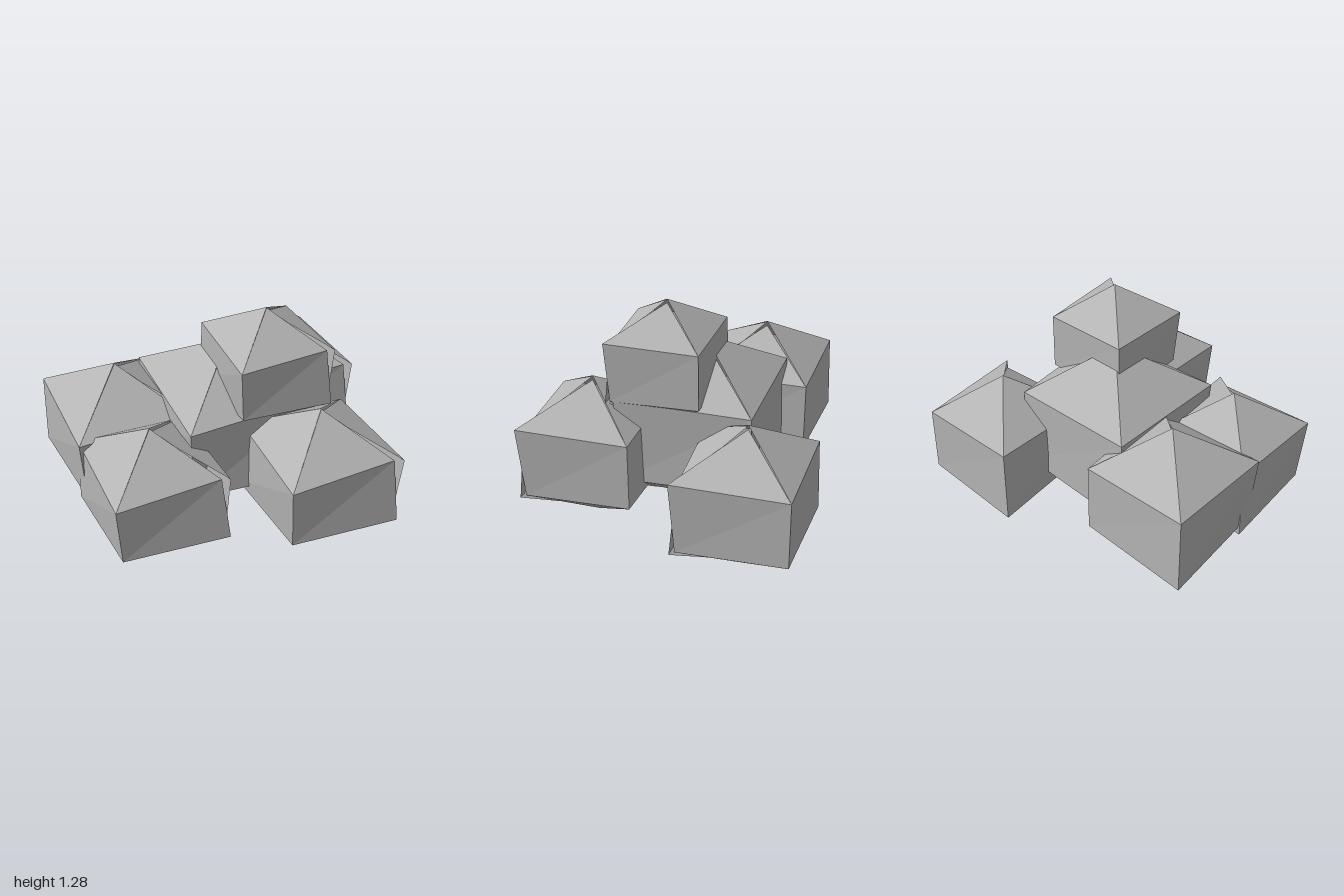
import * as THREE from 'three';

// Corner directions of a unit boulder. The +x corner is a split seam, so it
// has a front and a back version; the pole tips are slightly split as well.
const UPPER = {
  right: [0.96, 0.46, 0], front: [0, 0.46, 1.03], left: [-1.04, 0.49, 0],
  back: [0, 0.45, -0.97], rightBack: [1.08, 0.5, 0],
};
const LOWER = {
  right: [1.08, -0.49, 0], front: [0, -0.44, 0.95], left: [-1.08, -0.49, 0],
  back: [0, -0.45, -0.97], rightBack: [1.0, -0.48, 0],
};
// from corner, to corner, top tip height, bottom tip height
const QUADRANTS = [
  ['left', 'front', 1, -0.95],
  ['front', 'right', 0.99, -0.95],
  ['rightBack', 'back', 0.94, -1],
  ['back', 'left', 1, -1],
];

// Faceted four-sided boulder: cap, wall and underside for each quadrant
function boulderGeometry() {
  const points = [];
  for (const [a, b, top, bottom] of QUADRANTS) {
    const ua = UPPER[a], ub = UPPER[b], la = LOWER[a], lb = LOWER[b];
    points.push(
      [0, top, 0], ua, ub,
      ua, la, ub,
      la, lb, ub,
      la, [0, bottom, 0], lb,
    );
  }
  const geometry = new THREE.BufferGeometry();
  geometry.setAttribute('position', new THREE.Float32BufferAttribute(points.flat(), 3));
  geometry.computeVertexNormals();
  return geometry;
}

export function createModel() {
  const group = new THREE.Group();
  group.name = 'boulderPile';
  const stone = new THREE.MeshStandardMaterial({
    color: 0xb4b4b4, flatShading: true, side: THREE.DoubleSide,
  });
  stone.name = 'stone grey';
  const geometry = boulderGeometry();

  // name, centre x, y, z, half height
  const boulders = [
    ['centreBoulder', -0.01, 0.545, -0.01, 0.495],
    ['rightBoulder', -0.545, 0.485, 0.235, 0.425],
    ['frontBoulder', -0.19, 0.45, 0.59, 0.395],
    ['backBoulder', 0.075, 0.41, -0.6, 0.41],
    ['leftBoulder', 0.555, 0.455, 0.165, 0.41],
    ['topBoulder', 0.2, 0.945, 0, 0.335],
  ];
  for (const [name, x, y, z, size] of boulders) {
    const mesh = new THREE.Mesh(geometry, stone);
    mesh.name = name;
    mesh.position.set(x, y, z);
    mesh.scale.setScalar(size);
    group.add(mesh);
  }
  return group;
}
